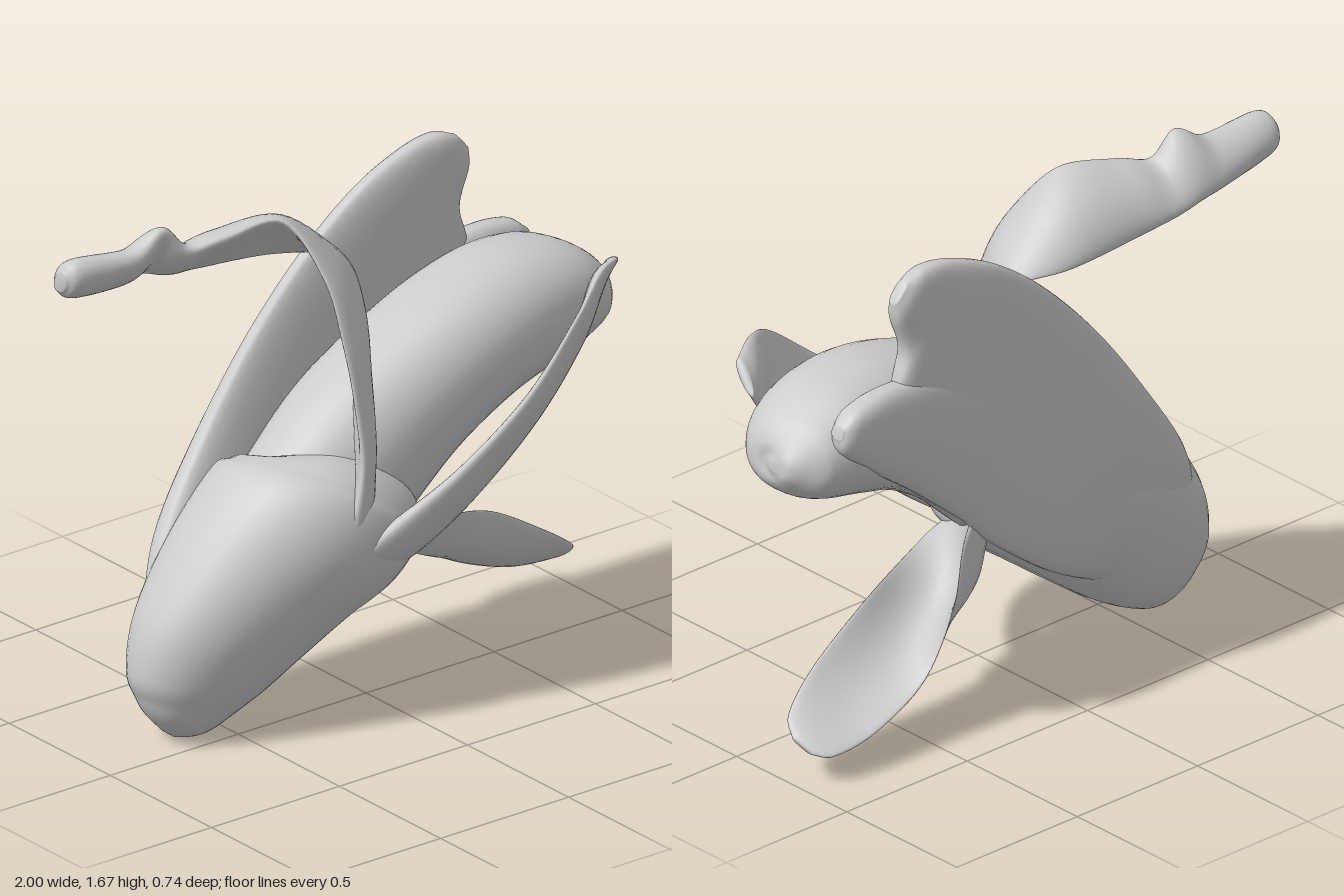
import * as THREE from 'three';

const material = new THREE.MeshStandardMaterial({ color: 0xcccccc, side: THREE.DoubleSide });

// Smooth closed loft. Each row: edge A xyz, edge B xyz, thickness, bulge across the section.
function loft(name, rows, { power = 1, steps = 64, sides = 36 } = {}) {
  const curve = (f) => new THREE.CatmullRomCurve3(rows.map(f), false, 'catmullrom', 0.5);
  const edgeA = curve((r) => new THREE.Vector3(r[0], r[1], r[2]));
  const edgeB = curve((r) => new THREE.Vector3(r[3], r[4], r[5]));
  const form = curve((r) => new THREE.Vector3(r[6], r[7] || 0, 0));
  const centre = (u) => edgeA.getPoint(u).add(edgeB.getPoint(u)).multiplyScalar(0.5);
  const shape = (v) => Math.sign(v) * Math.abs(v) ** power;
  const pos = [], index = [];
  for (let i = 0; i <= steps; i++) {
    const u = i / steps, c = centre(u), f = form.getPoint(u);
    const across = edgeB.getPoint(u).sub(edgeA.getPoint(u));
    const along = centre(Math.min(1, u + 0.01)).sub(centre(Math.max(0, u - 0.01)));
    const normal = along.cross(across).normalize();
    for (let j = 0; j < sides; j++) {
      const a = (j / sides) * Math.PI * 2, w = shape(Math.cos(a));
      const p = c.clone().addScaledVector(across, w / 2)
        .addScaledVector(normal, shape(Math.sin(a)) * f.x / 2 + f.y * (1 - w * w));
      pos.push(p.x, p.y, p.z);
      if (i < steps) {
        const k = i * sides, n = (j + 1) % sides;
        index.push(k + j, k + n, k + sides + n, k + j, k + sides + n, k + sides + j);
      }
    }
  }
  // end caps
  [0, 1].forEach((end) => {
    const c = centre(end), id = pos.length / 3, k = end * steps * sides;
    pos.push(c.x, c.y, c.z);
    for (let j = 0; j < sides; j++) {
      const n = (j + 1) % sides;
      if (end) index.push(id, k + j, k + n);
      else index.push(id, k + n, k + j);
    }
  });
  const g = new THREE.BufferGeometry();
  g.setAttribute('position', new THREE.Float32BufferAttribute(pos, 3));
  g.setIndex(index);
  g.computeVertexNormals();
  const mesh = new THREE.Mesh(g, material);
  mesh.name = name;
  return mesh;
}

export function createModel() {
  const group = new THREE.Group();

  // closed lower end of the skin
  group.add(loft('skinBase', [
    [-0.715, 0.04, -0.1, -0.675, 0.01, -0.1, 0.04],
    [-0.765, 0.1, -0.1, -0.6, 0.005, -0.1, 0.15],
    [-0.795, 0.16, -0.1, -0.52, 0.03, -0.1, 0.23],
    [-0.82, 0.25, -0.1, -0.37, 0.11, -0.1, 0.33],
    [-0.78, 0.42, -0.09, -0.2, 0.23, -0.09, 0.44],
    [-0.64, 0.64, -0.07, -0.04, 0.35, -0.07, 0.55],
    [-0.47, 0.83, -0.04, 0.08, 0.44, -0.04, 0.61],
    [-0.36, 0.87, -0.04, 0.14, 0.52, -0.05, 0.57],
    [-0.25, 0.85, -0.06, 0.13, 0.6, -0.06, 0.38],
    [-0.12, 0.8, -0.08, 0.05, 0.68, -0.08, 0.15],
  ], { power: 0.92 }));

  // exposed fruit
  group.add(loft('fruit', [
    [-0.35, 0.8, -0.1, 0.0, 0.4, -0.1, 0.42],
    [-0.12, 1.0, -0.11, 0.18, 0.56, -0.11, 0.46],
    [0.1, 1.13, -0.11, 0.36, 0.72, -0.11, 0.47],
    [0.34, 1.24, -0.11, 0.55, 0.83, -0.11, 0.47],
    [0.57, 1.295, -0.12, 0.72, 0.88, -0.12, 0.45],
    [0.77, 1.28, -0.14, 0.87, 0.92, -0.14, 0.41],
    [0.91, 1.21, -0.16, 0.945, 0.955, -0.16, 0.33],
    [0.975, 1.14, -0.17, 0.985, 1.0, -0.17, 0.19],
    [0.998, 1.085, -0.17, 1.0, 1.05, -0.17, 0.05],
  ], { power: 0.9 }));

  // front strip of skin, leaning away from the fruit
  group.add(loft('frontPeel', [
    [-0.34, 0.5, 0.12, -0.2, 0.34, 0.0, 0.08],
    [-0.23, 0.6, 0.23, -0.05, 0.42, 0.05, 0.1],
    [-0.1, 0.7, 0.29, 0.12, 0.53, 0.08, 0.11, -0.02],
    [0.1, 0.84, 0.345, 0.3, 0.67, 0.1, 0.09, -0.03],
    [0.35, 1.03, 0.365, 0.5, 0.84, 0.11, 0.07, -0.03],
    [0.58, 1.21, 0.31, 0.7, 0.99, 0.1, 0.05, -0.02],
    [0.74, 1.285, 0.22, 0.84, 1.12, 0.06, 0.05],
    [0.87, 1.275, 0.14, 0.9, 1.2, 0.04, 0.03],
  ]));

  // side strip of skin, twisting upward and then out into the stalk
  group.add(loft('upperPeel', [
    [-0.4, 0.44, 0.13, -0.26, 0.44, 0.11, 0.06],
    [-0.28, 0.64, 0.235, -0.13, 0.64, 0.17, 0.07],
    [-0.21, 0.87, 0.25, -0.09, 0.9, 0.07, 0.06, -0.02],
    [-0.2, 1.1, 0.2, -0.01, 1.12, -0.05, 0.05, -0.03],
    [-0.2, 1.28, 0.14, 0.06, 1.27, -0.14, 0.05, -0.03],
    [-0.2, 1.46, 0.05, 0.05, 1.38, -0.22, 0.05, -0.03],
    [-0.26, 1.63, -0.08, -0.12, 1.41, -0.3, 0.06, -0.03],
    [-0.45, 1.61, -0.13, -0.4, 1.44, -0.32, 0.08, -0.02],
    [-0.56, 1.59, -0.17, -0.54, 1.46, -0.33, 0.08],
    [-0.64, 1.67, -0.19, -0.64, 1.48, -0.33, 0.08],
    [-0.75, 1.61, -0.19, -0.75, 1.49, -0.32, 0.1],
    [-0.95, 1.63, -0.21, -0.95, 1.51, -0.29, 0.11],
    [-1.0, 1.6, -0.23, -1.0, 1.54, -0.27, 0.05],
  ], { steps: 96 }));

  // lower strip of skin: a trough opening upward, hanging from the underside
  group.add(loft('lowerPeel', [
    [0.03, 0.52, 0.02, 0.2, 0.8, -0.3, 0.1],
    [0.17, 0.49, 0.02, 0.33, 0.64, -0.31, 0.07, -0.09],
    [0.36, 0.48, -0.05, 0.4, 0.43, -0.33, 0.05, -0.12],
    [0.57, 0.42, -0.1, 0.53, 0.23, -0.34, 0.05, -0.07],
    [0.79, 0.29, -0.12, 0.74, 0.13, -0.35, 0.05, -0.04],
    [0.93, 0.19, -0.16, 0.9, 0.1, -0.34, 0.04, -0.01],
    [0.97, 0.14, -0.22, 0.96, 0.11, -0.3, 0.02],
  ]));

  // broad flat strip of skin behind the fruit
  group.add(loft('backPeel', [
    [-0.72, 0.38, -0.17, -0.35, 0.22, -0.17, 0.16],
    [-0.61, 0.62, -0.25, -0.14, 0.33, -0.25, 0.15],
    [-0.43, 0.88, -0.29, 0.05, 0.45, -0.29, 0.13],
    [-0.22, 1.16, -0.3, 0.3, 0.66, -0.3, 0.11],
    [0, 1.39, -0.3, 0.5, 0.93, -0.3, 0.1],
    [0.2, 1.54, -0.3, 0.62, 1.2, -0.3, 0.1],
    [0.38, 1.62, -0.3, 0.59, 1.37, -0.3, 0.09],
    [0.5, 1.64, -0.3, 0.625, 1.49, -0.3, 0.08],
    [0.58, 1.615, -0.3, 0.63, 1.555, -0.3, 0.04],
  ], { power: 0.7 }));
  // its smaller lobe, following the fruit towards the tip
  group.add(loft('backPeelLobe', [
    [0.05, 1.08, -0.3, 0.3, 0.67, -0.3, 0.1],
    [0.38, 1.24, -0.3, 0.54, 0.87, -0.3, 0.12],
    [0.64, 1.28, -0.31, 0.74, 1.02, -0.31, 0.12],
    [0.8, 1.265, -0.32, 0.86, 1.12, -0.32, 0.1],
    [0.87, 1.22, -0.32, 0.88, 1.18, -0.32, 0.05],
  ], { power: 0.75 }));

  return group;
}
